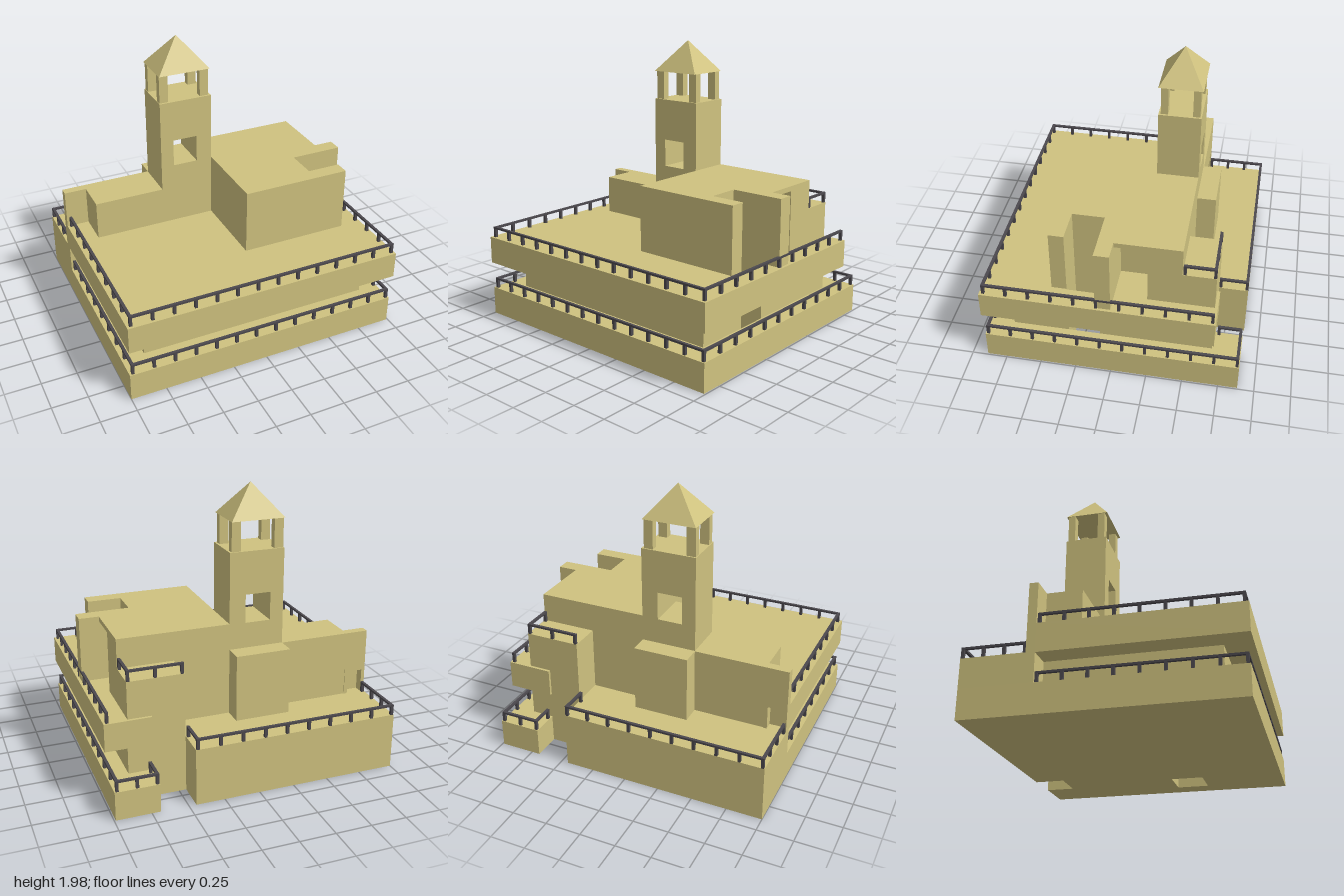
import * as THREE from 'three';

export function createModel() {
  const model = new THREE.Group();
  model.name = 'terracedHouse';
  const sandstone = new THREE.MeshStandardMaterial({ color: 0xcfc27f });
  sandstone.name = 'sandstone';
  const iron = new THREE.MeshStandardMaterial({ color: 0x4c494e });
  iron.name = 'darkIron';

  function add(name, geometry, material = sandstone, parent = model) {
    const mesh = new THREE.Mesh(geometry, material);
    mesh.name = name;
    parent.add(mesh);
    return mesh;
  }
  function box(name, x0, x1, y0, y1, z0, z1, material, parent) {
    const g = new THREE.BoxGeometry(x1 - x0, y1 - y0, z1 - z0);
    g.translate((x0 + x1) / 2, (y0 + y1) / 2, (z0 + z1) / 2);
    return add(name, g, material, parent);
  }
  const outline = (pts, flip) => pts.map(([a, b]) => new THREE.Vector2(a, flip * b));
  // Floor plan of [x, z] corners raised from y0 to y1
  function plan(name, pts, y0, y1, hole) {
    const shape = new THREE.Shape(outline(pts, -1));
    if (hole) shape.holes.push(new THREE.Path(outline(hole, -1)));
    const g = new THREE.ExtrudeGeometry(shape, { depth: y1 - y0, bevelEnabled: false });
    g.rotateX(-Math.PI / 2).translate(0, y0, 0);
    return add(name, g);
  }
  // Elevation of [x, y] corners, from z0 to z1
  function elevation(name, pts, z0, z1, hole) {
    const shape = new THREE.Shape(outline(pts, 1));
    if (hole) shape.holes.push(new THREE.Path(outline(hole, 1)));
    const g = new THREE.ExtrudeGeometry(shape, { depth: z1 - z0, bevelEnabled: false });
    return add(name, g.translate(0, 0, z0));
  }
  const rect = (x0, x1, y0, y1) => [[x0, y0], [x1, y0], [x1, y1], [x0, y1]];

  // Base and floors, pierced by the light shaft
  const shaft = rect(0.6, 0.845, 0.1, 0.325);
  plan('base', [[-1, 0.89], [0.99, 0.89], [0.99, -0.885], [0.69, -0.885], [0.69, -0.685],
    [0.45, -0.685], [0.45, -0.89], [-1, -0.89]], 0, 0.2, shaft);
  plan('lowerStorey', [[-0.84, 0.72], [0.845, 0.72], [0.845, 0.325], [0.6, 0.325], [0.6, 0.1],
    [0.845, 0.1], [0.845, -0.685], [0.45, -0.685], [0.45, -0.46], [-0.84, -0.46]], 0.2, 0.4);
  plan('upperDeck', [[-1, 0.9], [1, 0.9], [1, -0.705], [0.68, -0.705], [0.68, -0.46],
    [-0.84, -0.46], [-0.84, -0.405], [-1, -0.405]], 0.395, 0.59, shaft);
  box('backTerrace', -1, 0.45, 0.2, 0.4, -0.89, -0.46);
  box('backBlock', 0.45, 0.84, 0.2, 0.85, -0.685, -0.46);

  // Main upper block: open shaft, side recess and short wing wall
  const front = [[0.055, -0.46], [0.055, 0.43], [0.84, 0.43], [0.84, 0.325], [0.6, 0.325],
    [0.6, 0.1], [0.98, 0.1], [0.98, -0.005], [0.84, -0.005]];
  const recess = [[0.6, -0.005], [0.6, -0.23], [0.84, -0.23]];
  plan('upperStorey', [...front, ...recess, [0.84, -0.46]], 0.59, 1.02);
  plan('upperRoof', [...front, [0.84, -0.46]], 1.02, 1.055);

  // Side room and the wing wall with its small doorway
  box('sideRoom', -0.84, -0.335, 0.59, 0.87, -0.465, -0.165);
  elevation('sideWingWall', rect(-1, -0.84, 0.2, 0.87), -0.465, -0.405,
    rect(-0.975, -0.865, 0.4, 0.57));
  box('stairBox', -0.335, 0.055, 0.4, 0.87, -0.595, -0.46);

  // Tower with a window running through it
  elevation('tower', rect(-0.335, 0.055, 0.59, 1.55), -0.46, -0.165,
    rect(-0.24, -0.06, 1.05, 1.25));
  for (const x of [-0.33, -0.025])
    for (const z of [-0.45, -0.23])
      box('belfryPost', x, x + 0.065, 1.55, 1.757, z, z + 0.05);
  const roof = new THREE.ConeGeometry(Math.SQRT1_2, 1, 4, 1).toNonIndexed();
  roof.rotateY(Math.PI / 4).scale(0.38, 0.225, 0.305).translate(-0.145, 1.8675, -0.3125);
  roof.computeVertexNormals();
  add('towerRoof', roof);

  // Railings: posts and a handrail along a path of [x, z] points
  function railing(name, path, y) {
    const group = new THREE.Group();
    group.name = name;
    model.add(group);
    const w = 0.01, h = 0.07;
    path.slice(1).forEach(([x1, z1], i) => {
      const [x0, z0] = path[i];
      box('handrail', Math.min(x0, x1) - w, Math.max(x0, x1) + w, y + h - 0.008, y + h + 0.006,
        Math.min(z0, z1) - w, Math.max(z0, z1) + w, iron, group);
      const n = Math.max(1, Math.round(Math.hypot(x1 - x0, z1 - z0) / 0.153));
      for (let k = i ? 1 : 0; k <= n; k++) {
        const x = x0 + (x1 - x0) * k / n, z = z0 + (z1 - z0) * k / n;
        box('railPost', x - w, x + w, y, y + h, z - w, z + w, iron, group);
      }
    });
  }
  railing('lowerRailing', [[-0.975, -0.395], [-0.975, 0.872], [0.972, 0.872], [0.972, -0.87],
    [0.705, -0.87], [0.705, -0.72]], 0.2);
  railing('deckRailing', [[-0.972, -0.395], [-0.972, 0.872], [0.975, 0.872], [0.975, -0.685]], 0.59);
  railing('terraceRailing', [[-0.985, -0.475], [-0.985, -0.88], [0.435, -0.88], [0.435, -0.695]], 0.4);
  railing('backBlockRailing', [[0.465, -0.675], [0.828, -0.675], [0.828, -0.475]], 0.85);

  return model;
}
